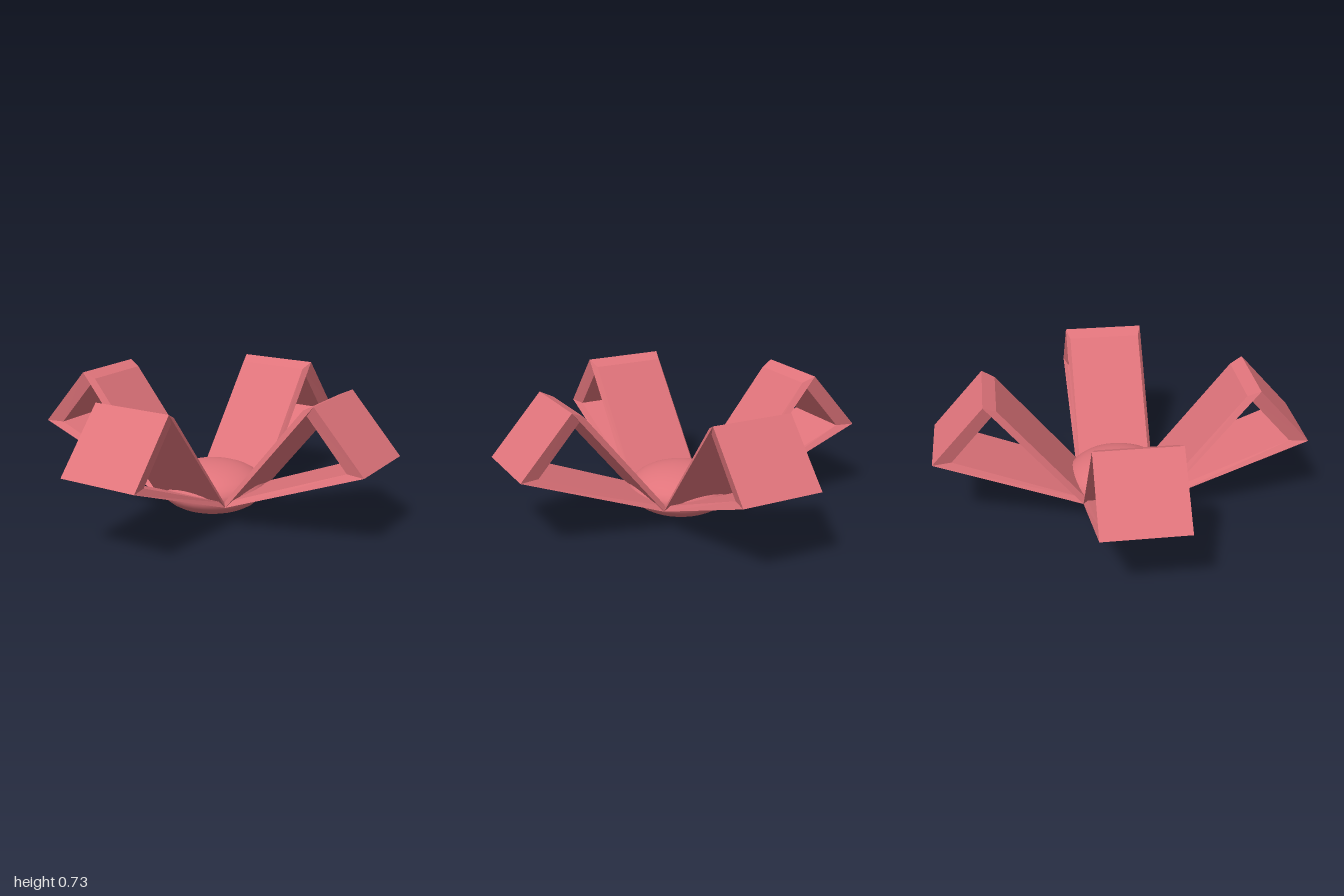
import * as THREE from 'three';

const material = new THREE.MeshStandardMaterial({ color: 0xe0747b });

// Petal section as [radius, height, half width]
const wide = { root: [0.22, 0.11, 0.22], tip: [1, 0.412, 0.22], peak: [0.72, 0.727, 0.22] };
const narrow = { root: [0.2, 0.13, 0.2], tip: [0.9, 0.412, 0.2], peak: [0.652, 0.695, 0.2] };

// Closed plate between an outer edge pair (o1, o2) and an inner edge pair (i1, i2)
function plate(name, o1, o2, i1, i2, capped) {
  const positions = [];
  const at = (p, side) => [p[0], p[1], p[2] * side];
  const quad = (a, b, c, d) => positions.push(...a, ...b, ...c, ...a, ...c, ...d);
  const [a, b, c, d] = [o1, o2, i2, i1].map((p) => at(p, 1));
  const [e, f, g, h] = [o1, o2, i2, i1].map((p) => at(p, -1));
  quad(e, f, b, a); // outer face
  quad(d, c, g, h); // inner face
  quad(a, b, c, d); // bevelled rims
  quad(h, g, f, e);
  if (capped) quad(f, g, c, b); // end at the peak
  const geometry = new THREE.BufferGeometry();
  geometry.setAttribute('position', new THREE.Float32BufferAttribute(positions, 3));
  geometry.computeVertexNormals();
  const mesh = new THREE.Mesh(geometry, material);
  mesh.name = name;
  return mesh;
}

export function createModel() {
  const model = new THREE.Group();
  model.name = 'flower';

  // Flattened ball in the middle
  const core = new THREE.Mesh(new THREE.SphereGeometry(0.29, 32, 16), material);
  core.name = 'core';
  core.scale.y = 0.135 / 0.29;
  core.position.y = 0.135;
  model.add(core);

  // Four hollow triangular petals
  for (let i = 0; i < 4; i++) {
    const petal = new THREE.Group();
    petal.name = `petal${i + 1}`;
    petal.add(
      plate('lowerPlate', wide.root, wide.tip, narrow.root, narrow.tip, false),
      plate('outerPlate', wide.tip, wide.peak, narrow.tip, narrow.peak, true),
      plate('upperPlate', narrow.peak, narrow.root, wide.peak, wide.root, false)
    );
    petal.rotation.y = (i * Math.PI) / 2;
    model.add(petal);
  }
  return model;
}
